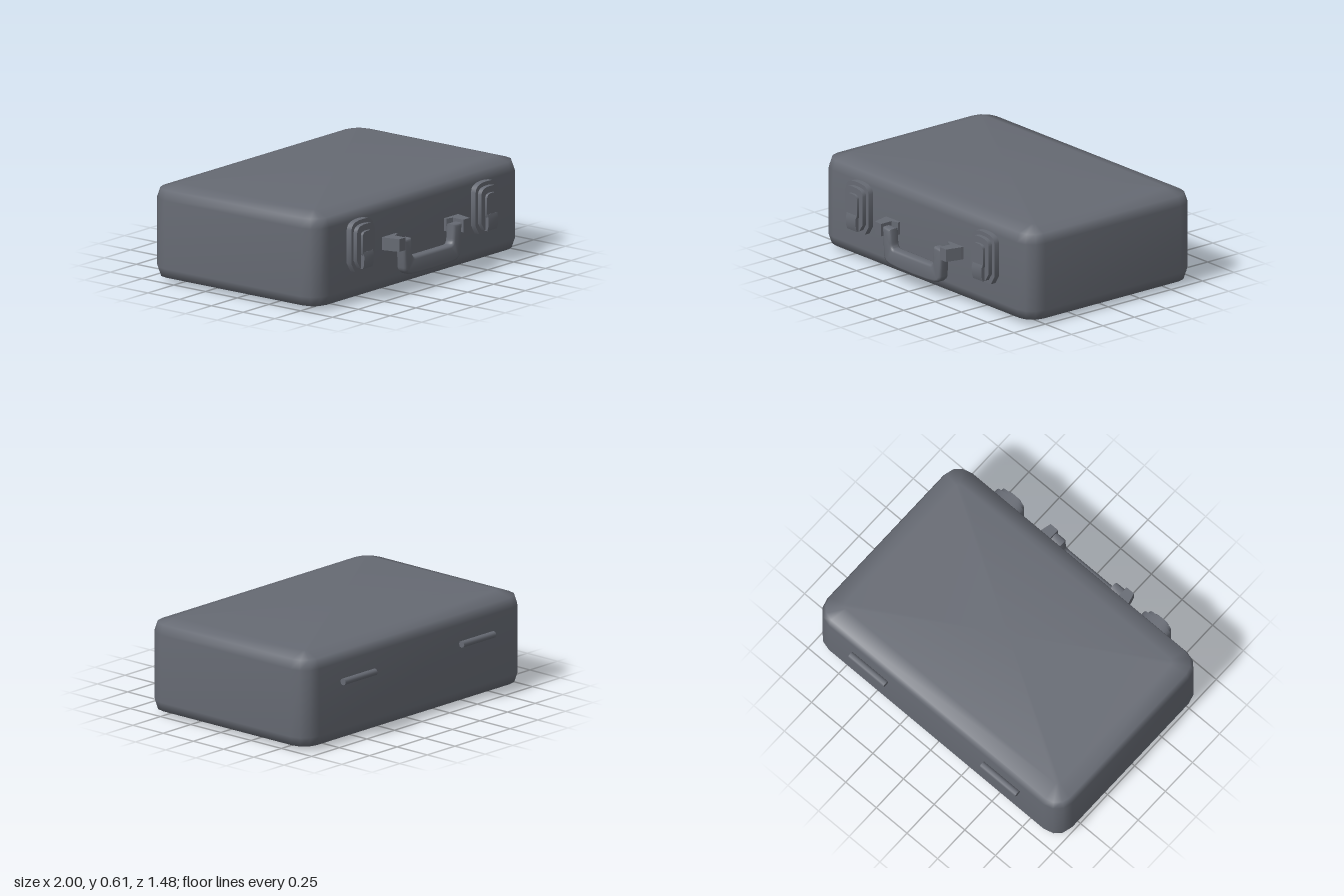
import * as THREE from 'three';
import { toCreasedNormals } from 'three/addons/utils/BufferGeometryUtils.js';

const shell = new THREE.MeshStandardMaterial({ color: 0x666a73 });
shell.name = 'slate grey';

function addMesh(parent, geometry, name) {
  const mesh = new THREE.Mesh(geometry, shell);
  mesh.name = name;
  parent.add(mesh);
  return mesh;
}

// Case body: rounded-rectangle loops stacked from bottom to top
function bodyGeometry() {
  const rings = [[0, 0.125], [0.03, 0.02], [0.09, 0], [0.52, 0], [0.58, 0.02], [0.61, 0.125]];
  const zMid = -0.038, steps = 3, loop = 4 * (steps + 1);
  const positions = [], index = [];
  for (const [y, inset] of rings) {
    const r = Math.max(0.025, 0.125 - inset);
    const hx = 1 - inset - r, hz = 0.661 - inset - r;
    for (let c = 0; c < 4; c++) {
      const sx = c === 0 || c === 3 ? 1 : -1, sz = c < 2 ? 1 : -1;
      for (let i = 0; i <= steps; i++) {
        const a = (c + i / steps) * Math.PI / 2;
        positions.push(sx * hx + r * Math.cos(a), y, zMid + sz * hz + r * Math.sin(a));
      }
    }
  }
  for (let k = 0; k < rings.length - 1; k++) {
    for (let i = 0; i < loop; i++) {
      const a = k * loop + i, b = k * loop + (i + 1) % loop;
      index.push(a, a + loop, b, b, a + loop, b + loop);
    }
  }
  // Bottom and top caps
  const bottom = positions.length / 3, top = bottom + 1, last = (rings.length - 1) * loop;
  positions.push(0, 0, zMid, 0, 0.61, zMid);
  for (let i = 0; i < loop; i++) {
    const j = (i + 1) % loop;
    index.push(bottom, i, j, top, last + j, last + i);
  }
  const geometry = new THREE.BufferGeometry();
  geometry.setAttribute('position', new THREE.Float32BufferAttribute(positions, 3));
  geometry.setIndex(index);
  geometry.computeVertexNormals();
  return geometry;
}

// Plate with an arched top and cut lower corners, from z0 to z1
function archedPlate(halfWidth, y0, y1, z0, z1, cut) {
  const w = halfWidth, s = new THREE.Shape();
  s.moveTo(-w + cut, y0);
  s.lineTo(w - cut, y0);
  s.lineTo(w, y0 + cut * 1.6);
  s.lineTo(w, y1 - w * 0.5);
  s.bezierCurveTo(w * 0.95, y1 - w * 0.1, w * 0.6, y1, 0, y1);
  s.bezierCurveTo(-w * 0.6, y1, -w * 0.95, y1 - w * 0.1, -w, y1 - w * 0.5);
  s.lineTo(-w, y0 + cut * 1.6);
  const g = new THREE.ExtrudeGeometry(s, { depth: z1 - z0, bevelEnabled: false, curveSegments: 5 });
  return toCreasedNormals(g.translate(0, 0, z0), 0.6);
}

// Side profile (z, y) extruded across x
function sideProfile(points, width) {
  const s = new THREE.Shape(points.map(([z, y]) => new THREE.Vector2(-z, y)));
  const g = new THREE.ExtrudeGeometry(s, { depth: width, bevelEnabled: false });
  return toCreasedNormals(g.translate(0, 0, -width / 2).rotateY(Math.PI / 2), 0.6);
}

function createLatch() {
  const latch = new THREE.Group();
  addMesh(latch, archedPlate(0.107, 0.205, 0.525, 0.61, 0.66, 0.035), 'latchBackPlate');
  addMesh(latch, archedPlate(0.085, 0.23, 0.5, 0.655, 0.688, 0.03), 'latchMiddlePlate');
  addMesh(latch, archedPlate(0.05, 0.31, 0.46, 0.68, 0.705, 0.005), 'latchLever');
  addMesh(latch, sideProfile([[0.68, 0.33], [0.706, 0.33], [0.713, 0.3], [0.71, 0.25],
    [0.702, 0.225], [0.68, 0.225]], 0.092), 'latchThumbTab');
  return latch;
}

// Handle mount: plan outline (x, z) extruded upwards
function mountGeometry(side) {
  const plan = [[0.37, 0.61], [0.365, 0.64], [0.34, 0.738], [0.28, 0.738],
    [0.28, 0.655], [0.235, 0.64], [0.235, 0.61]];
  const s = new THREE.Shape(plan.map(([x, z]) => new THREE.Vector2(side * x, -z)));
  const g = new THREE.ExtrudeGeometry(s, { depth: 0.08, bevelEnabled: false });
  return g.rotateX(-Math.PI / 2).translate(0, 0.278, 0);
}

// U-shaped carrying handle with softened edges
function handleGeometry() {
  const b = 0.016, s = new THREE.Shape();
  s.moveTo(-0.264, 0.322);
  s.lineTo(-0.255, 0.16);
  s.quadraticCurveTo(-0.25, 0.13, -0.2, 0.123);
  s.quadraticCurveTo(0, 0.111, 0.2, 0.123);
  s.quadraticCurveTo(0.25, 0.13, 0.255, 0.16);
  s.lineTo(0.264, 0.322);
  s.lineTo(0.22, 0.322);
  s.lineTo(0.215, 0.25);
  s.quadraticCurveTo(0.212, 0.2, 0.17, 0.198);
  s.lineTo(-0.17, 0.198);
  s.quadraticCurveTo(-0.212, 0.2, -0.215, 0.25);
  s.lineTo(-0.22, 0.322);
  const g = new THREE.ExtrudeGeometry(s, { depth: 0.07 - 2 * b, bevelThickness: b, bevelSize: b,
    bevelSegments: 2, curveSegments: 6 });
  return toCreasedNormals(g.translate(0, 0, 0.66 + b), 0.9);
}

export function createModel() {
  const model = new THREE.Group();
  model.name = 'briefcase';
  addMesh(model, bodyGeometry(), 'caseBody');
  addMesh(model, handleGeometry(), 'handle');
  for (const side of [-1, 1]) {
    const label = side > 0 ? 'left' : 'right';
    const latch = createLatch();
    latch.name = label + 'Latch';
    latch.position.x = side * 0.6;
    model.add(latch);
    addMesh(model, mountGeometry(side), label + 'HandleMount');
    // Pivot pin joining the handle arm to its mount
    const pin = addMesh(model, new THREE.CylinderGeometry(0.015, 0.015, 0.06, 8), label + 'HandlePin');
    pin.rotation.z = Math.PI / 2;
    pin.position.set(side * 0.265, 0.315, 0.695);
    // Hinge barrel on the back
    const hinge = addMesh(model, new THREE.CylinderGeometry(0.022, 0.022, 0.29, 8), label + 'Hinge');
    hinge.rotation.z = Math.PI / 2;
    hinge.position.set(side * 0.537, 0.398, -0.719);
  }
  return model;
}
